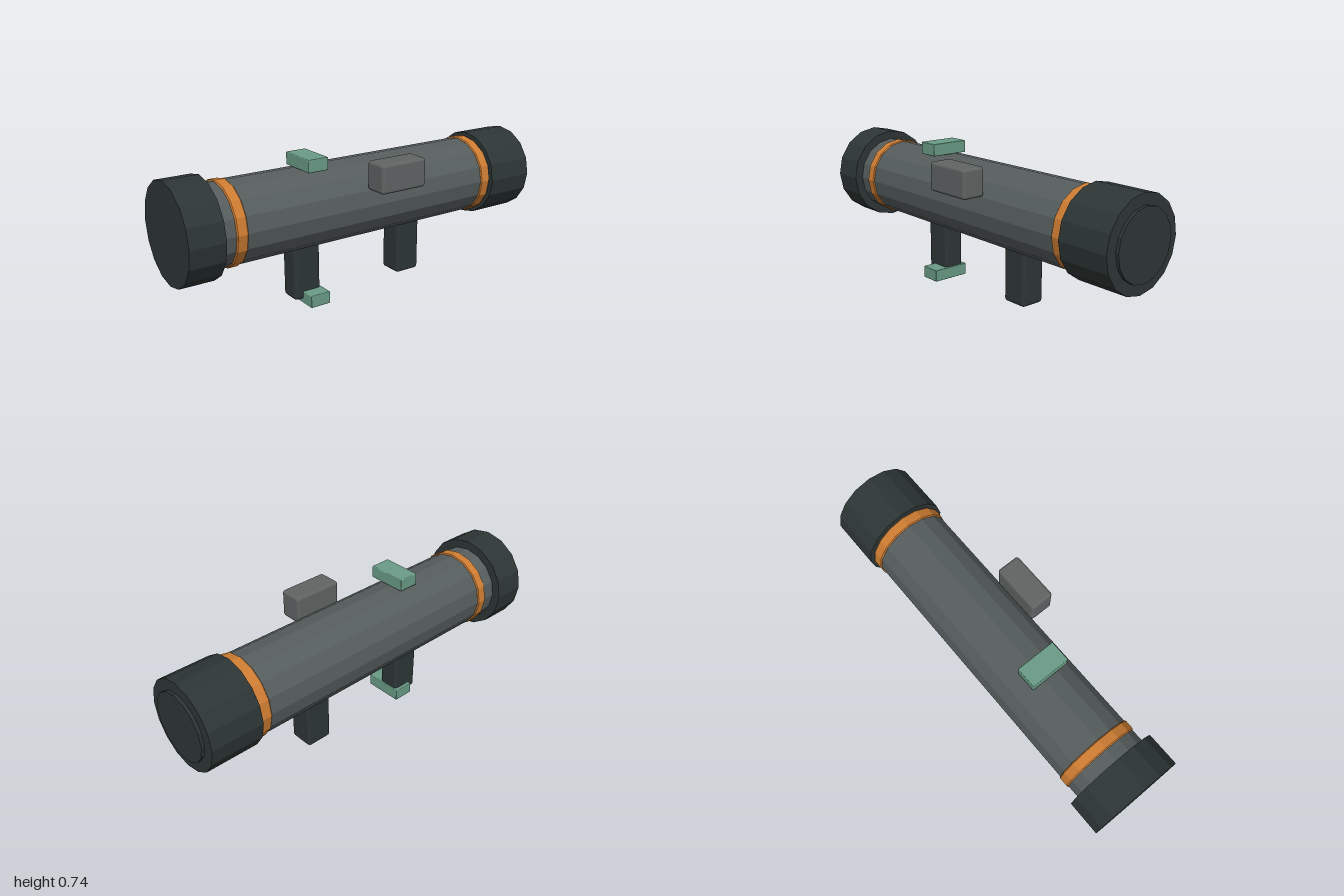
import * as THREE from 'three';
import { RoundedBoxGeometry } from 'three/addons/geometries/RoundedBoxGeometry.js';

const AXIS_X = -0.029, AXIS_Y = 0.477, SIDES = 16;

function material(name, color) {
  const m = new THREE.MeshStandardMaterial({ color });
  m.name = name;
  return m;
}

export function createModel() {
  const group = new THREE.Group();
  const dark = material('darkRubber', 0x2d3635);
  const grey = material('tubeGrey', 0x565d5d);
  const boxGrey = material('housingGrey', 0x5f6463);
  const orange = material('orange', 0xcd7c32);
  const green = material('green', 0x6a9c86);

  function add(name, geometry, mat, x, y, z) {
    const mesh = new THREE.Mesh(geometry, mat);
    mesh.name = name;
    mesh.position.set(x, y, z);
    group.add(mesh);
  }

  // Faceted closed ring about the tube axis, with an optional edge bevel
  function barrel(name, mat, radius, z0, z1, bevel = 0) {
    const profile = [[0, z0], [radius - bevel, z0], [radius, z0 + bevel],
      [radius, z1 - bevel], [radius - bevel, z1], [0, z1]]
      .map(([r, z]) => new THREE.Vector2(r, z))
      .filter((p, i, a) => i === 0 || p.distanceTo(a[i - 1]) > 1e-6);
    const geometry = new THREE.LatheGeometry(profile, SIDES).rotateX(Math.PI / 2).toNonIndexed();
    geometry.computeVertexNormals();
    add(name, geometry, mat, AXIS_X, AXIS_Y, 0);
  }

  // Soft-edged block given by its limits
  function block(name, mat, [x0, x1], [y0, y1], [z0, z1], radius) {
    add(name, new RoundedBoxGeometry(x1 - x0, y1 - y0, z1 - z0, 3, radius), mat,
      (x0 + x1) / 2, (y0 + y1) / 2, (z0 + z1) / 2);
  }

  // Tube, end caps and bands
  barrel('tube', grey, 0.198, -0.8, 0.9);
  barrel('frontCap', dark, 0.242, 0.83, 1);
  barrel('rearCap', dark, 0.222, -0.985, -0.722);
  barrel('rearDisc', dark, 0.168, -1, -0.97);
  barrel('frontBand', orange, 0.204, 0.707, 0.763, 0.005);
  barrel('rearBand', orange, 0.204, -0.718, -0.66, 0.005);

  // Grips
  block('frontGrip', dark, [-0.085, 0.027], [0.02, 0.34], [0.255, 0.4], 0.018);
  block('rearGrip', dark, [-0.094, 0.036], [0.02, 0.34], [-0.355, -0.215], 0.018);

  // Green pads above and below
  block('topPad', green, [-0.102, 0.1], [0.673, 0.735], [0.248, 0.355], 0.004);
  block('bottomPad', green, [-0.102, 0.1], [0, 0.062], [0.248, 0.355], 0.004);

  // Side housing
  block('sideHousing', boxGrey, [0.146, 0.268], [0.557, 0.7], [-0.198, 0.06], 0.015);

  return group;
}
